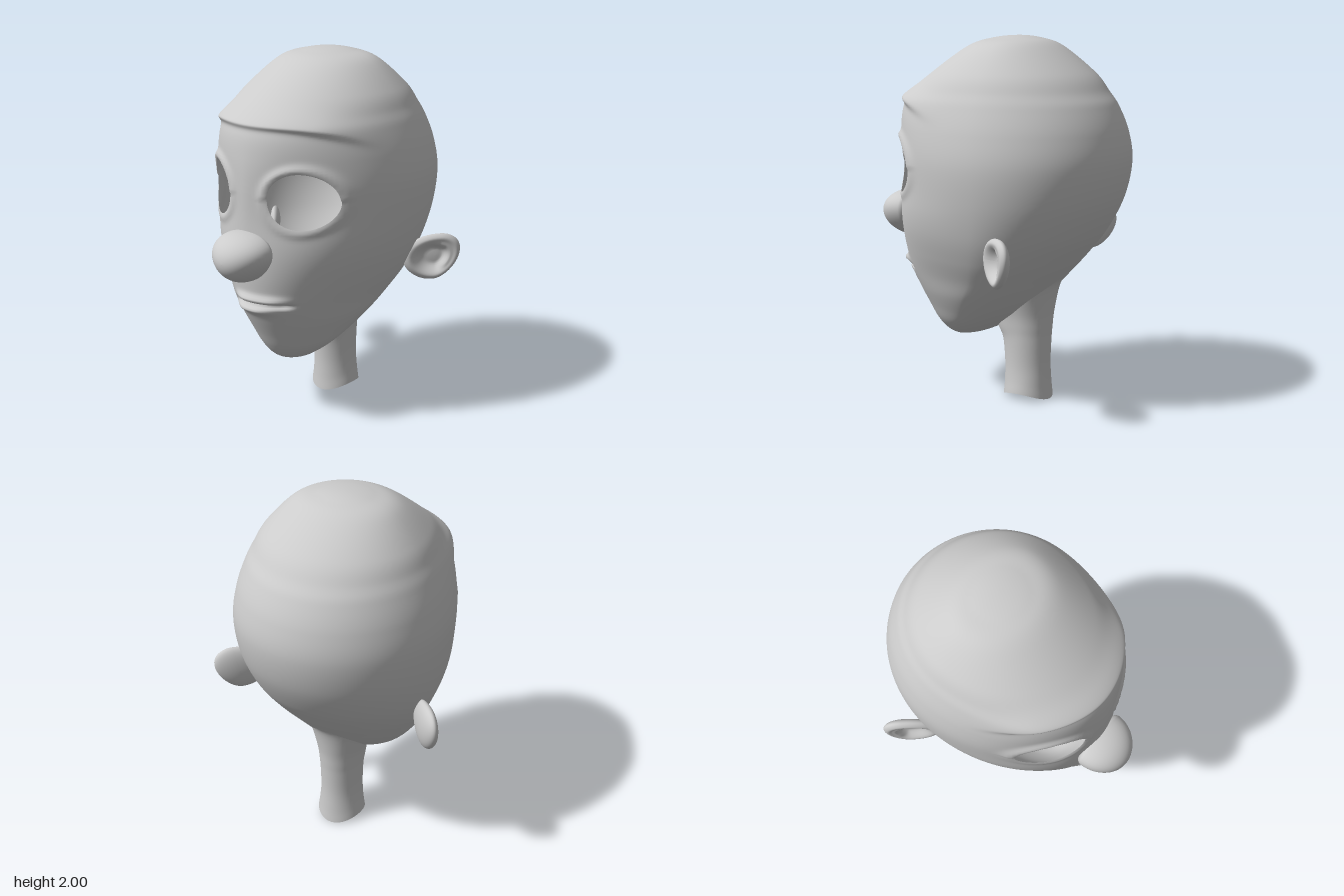
import * as THREE from 'three';

const material = new THREE.MeshStandardMaterial({ color: 0xcccccc, side: THREE.DoubleSide });
const bell = (d, s) => Math.exp(-(d * d) / (s * s));
const fade = (v, a, b) => 1 - THREE.MathUtils.smoothstep(v, a, b);

// Cross-sections from top to bottom: [y, half width, front z, back z, z of widest point]
const HEAD = [
  [2.0, 0, -0.13, -0.13, -0.13],
  [1.985, 0.145, 0.02, -0.25, -0.13],
  [1.94, 0.28, 0.15, -0.36, -0.13],
  [1.8, 0.42, 0.36, -0.54, -0.13],
  [1.7, 0.478, 0.48, -0.62, -0.13],
  [1.63, 0.512, 0.535, -0.67, -0.13],
  [1.5, 0.555, 0.56, -0.725, -0.14],
  [1.34, 0.58, 0.57, -0.748, -0.15],
  [1.15, 0.567, 0.565, -0.71, -0.15],
  [0.97, 0.53, 0.56, -0.62, -0.13],
  [0.825, 0.476, 0.55, -0.51, -0.1],
  [0.7, 0.41, 0.53, -0.4, -0.05],
  [0.6, 0.355, 0.48, -0.31, 0.02],
  [0.5, 0.285, 0.425, -0.2, 0.08],
  [0.42, 0.22, 0.38, -0.08, 0.14],
  [0.36, 0.15, 0.335, 0.03, 0.18],
  [0.325, 0.085, 0.285, 0.13, 0.205],
  [0.31, 0, 0.22, 0.22, 0.22],
];
const NECK = [
  [0.72, 0.23, 0.05, -0.42, -0.19],
  [0.65, 0.18, 0.05, -0.37, -0.19],
  [0.5, 0.135, 0.02, -0.34, -0.19],
  [0.4, 0.122, -0.01, -0.33, -0.19],
  [0.33, 0.118, -0.045, -0.325, -0.19],
  [0.2, 0.117, -0.06, -0.32, -0.19],
  [0.08, 0.125, -0.06, -0.325, -0.195],
  [0.0, 0.135, -0.055, -0.332, -0.195],
];

// Smooth interpolation through the sections, mirrored across a closed pole
function section(keys, t) {
  const n = keys.length - 1;
  const i = Math.min(Math.floor(t), n - 1);
  const ghost = (end, next) => end[1] === 0
    ? [next[0], -next[1], next[3], next[2], next[4]]
    : end.map((v, k) => 2 * v - next[k]);
  const p0 = i > 0 ? keys[i - 1] : ghost(keys[0], keys[1]);
  const p3 = i < n - 1 ? keys[i + 2] : ghost(keys[n], keys[n - 1]);
  const f = t - i;
  return keys[i].map((b, k) => {
    const a = p0[k], c = keys[i + 1][k], d = p3[k];
    return b + 0.5 * f * (c - a + f * (2 * a - 5 * b + 4 * c - d + f * (3 * (b - c) + d - a)));
  });
}

// Eye opening: value below 1 lies inside the hole
const eyeField = (x, y) => Math.hypot((Math.abs(x) - 0.28) / 0.153, (y - 1.295) / 0.147);

// Raised and sunken facial details on the front of the head
function relief(x, y) {
  const side = Math.abs(x);
  const browY = 1.675 - 1.7 * side ** 4;
  const brow = 0.032 * bell(y - browY, y < browY ? 0.022 : 0.06) * fade(side, 0.3, 0.53);
  const r = eyeField(x, y);
  const socket = -0.032 * bell(r, 1.4);
  const lid = 0.018 * bell(r - 1.12, 0.16) * (y > 1.3 ? 1 : 0.6);
  const mx = Math.abs(x - 0.045);
  const upperLip = 0.03 * bell(y - 0.742, 0.022) * fade(mx, 0.06, 0.2);
  const slit = -0.03 * bell(y - 0.712, 0.012) * fade(mx, 0.12, 0.19);
  const lowerLip = 0.032 * bell(y - 0.677, 0.024) * fade(Math.abs(x), 0.03, 0.16);
  return brow + socket + lid + upperLip + slit + lowerLip;
}

function headPoint(a, t) {
  const [y, w, zf, zb, zc] = section(HEAD, t);
  const c = Math.cos(a), s = Math.sin(a);
  const x = w * s;
  if (c <= 0) return [x, y, zc + (zc - zb) * c];
  const taper = 1 + 0.3 * fade(y, 0.6, 1.1);
  const d = relief(x, y) * THREE.MathUtils.smoothstep(c, 0, 0.4);
  return [x + d * s, y, zc + (zf - zc) * c ** taper + d * c];
}

function neckPoint(a, t) {
  const [y, w, zf, zb, zc] = section(NECK, t);
  const c = Math.cos(a), s = Math.sin(a);
  return [w * s, y + 0.04 * s * s * fade(y, 0, 0.2), zc + (c > 0 ? zf - zc : zc - zb) * c];
}

// Push a surface parameter out from the eye centre until it meets the rim
function snapToRim(a, t) {
  const a0 = Math.sign(a) * 0.503, t0 = 7.25;
  const at = (k) => headPoint(a0 + k * (a - a0), t0 + k * (t - t0));
  let lo = 1, hi = 1;
  for (let i = 0; i < 12; i++) {
    const p = at(hi);
    if (eyeField(p[0], p[1]) >= 1) break;
    hi *= 1.3;
  }
  for (let i = 0; i < 20; i++) {
    const mid = (lo + hi) / 2, p = at(mid);
    if (eyeField(p[0], p[1]) < 1) lo = mid; else hi = mid;
  }
  return at(hi);
}

// Skin a wrapped grid of rings, leaving out cells inside a hole
function skin(pointAt, span, rows, cols, cutEyes) {
  const pos = [], inside = [], index = [];
  for (let i = 0; i <= rows; i++) {
    for (let j = 0; j < cols; j++) {
      const a = ((j + 0.5) / cols * 2 - 1) * Math.PI, t = i / rows * span;
      let p = pointAt(a, t);
      const hole = cutEyes && Math.cos(a) > 0 && eyeField(p[0], p[1]) < 1;
      if (hole) p = snapToRim(a, t);
      inside.push(hole);
      pos.push(...p);
    }
  }
  const tri = (a, b, c) => {
    if (!(inside[a] && inside[b] && inside[c])) index.push(a, b, c);
  };
  for (let i = 0; i < rows; i++) {
    for (let j = 0; j < cols; j++) {
      const k = (j + 1) % cols;
      const a = i * cols + j, b = a + cols, c = i * cols + k, d = c + cols;
      tri(a, b, c);
      tri(c, b, d);
    }
  }
  const g = new THREE.BufferGeometry();
  g.setAttribute('position', new THREE.Float32BufferAttribute(pos, 3));
  g.setIndex(index);
  g.computeVertexNormals();
  return g;
}

// Reshape a unit sphere by a rule
function shapedSphere(rule) {
  const g = new THREE.SphereGeometry(1, 48, 40).rotateX(Math.PI / 2);
  const p = g.attributes.position;
  for (let i = 0; i < p.count; i++) p.setXYZ(i, ...rule(p.getX(i), p.getY(i), p.getZ(i)));
  g.computeVertexNormals();
  return g;
}

// Rounded nose, broad near the top and narrowing below
const noseRule = (x, y, z) => [
  0.166 * x * (1 + 0.28 * y), 0.135 * y, (z > 0 ? 0.185 : 0.07) * z,
];

// Cupped ear: a flattened disc with a bowl, a rim and an inner fold
function earRule(x, y, z) {
  const r = Math.hypot(x, y);
  const u = (x > 0 ? 0.125 : 0.19) * x * (1 + 0.15 * y) + 0.025 * y;
  let n = (z > 0 ? 0.045 : 0.05) * z;
  if (z > 0) {
    n -= 0.062 * fade(r, 0.3, 0.88);
    n += 0.022 * bell(r - 0.5, 0.14) * THREE.MathUtils.smoothstep(x + 0.4 * y, -0.1, 0.4);
  }
  return [u, 0.13 * y, n];
}

export function createModel() {
  const model = new THREE.Group();
  const add = (name, geometry, parent = model) => {
    const mesh = new THREE.Mesh(geometry, material);
    mesh.name = name;
    parent.add(mesh);
    return mesh;
  };

  add('head', skin(headPoint, HEAD.length - 1, 204, 160, true));
  add('neck', skin(neckPoint, NECK.length - 1, 42, 48, false));
  add('nose', shapedSphere(noseRule)).position.set(0, 0.985, 0.56);

  // Ears, mirrored and swept backwards
  const earGeometry = shapedSphere(earRule);
  for (const side of [1, -1]) {
    const group = new THREE.Group();
    group.name = side > 0 ? 'leftEar' : 'rightEar';
    group.scale.x = side;
    const ear = add('ear', earGeometry, group);
    ear.position.set(0.595, 0.88, -0.325);
    ear.rotation.y = 0.82;
    model.add(group);
  }
  return model;
}
